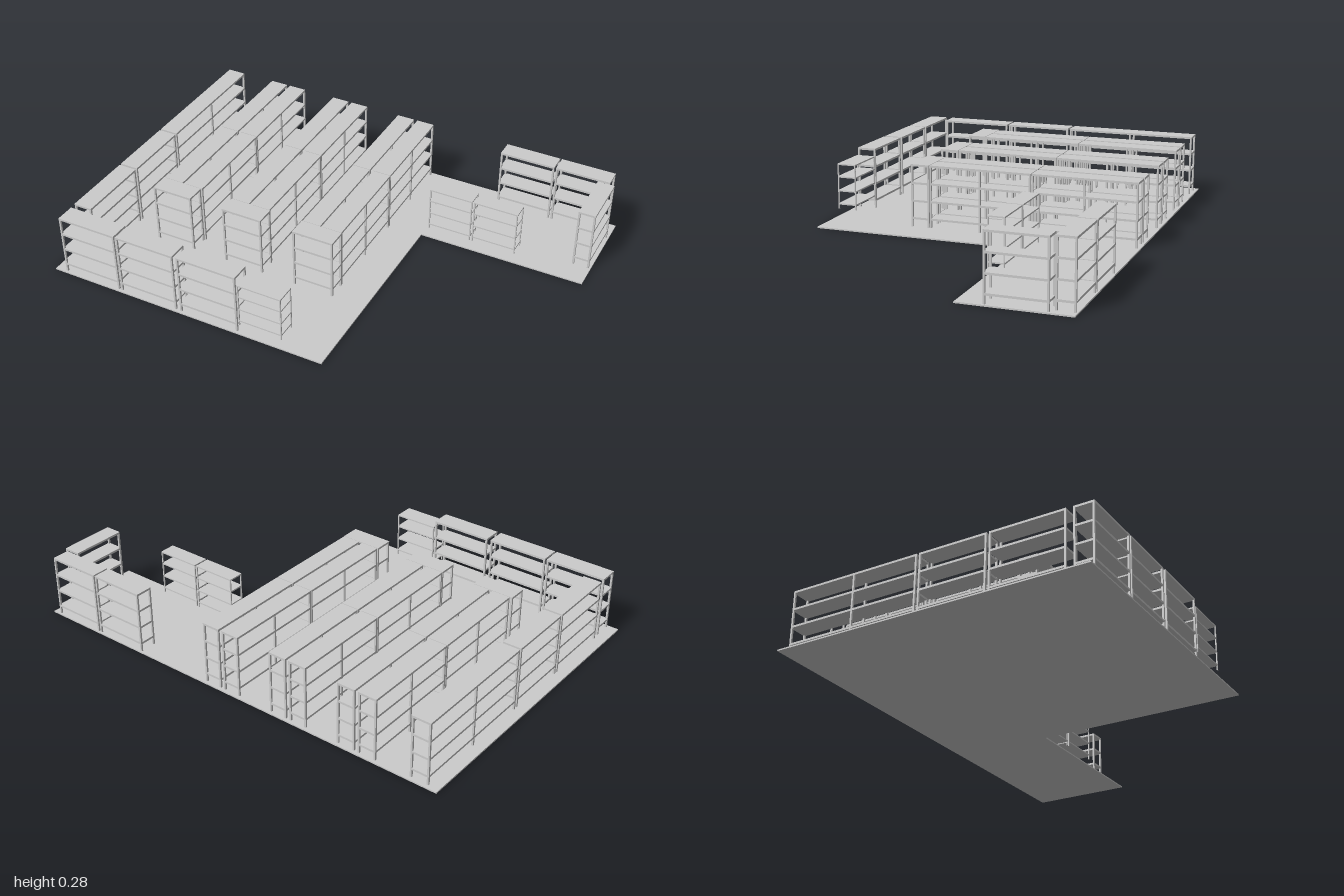
import * as THREE from 'three';

const material = new THREE.MeshStandardMaterial({ color: 0xcccccc, flatShading: true });

// Box given by its minimum and maximum corners
function box(name, x0, x1, y0, y1, z0, z1) {
  const mesh = new THREE.Mesh(new THREE.BoxGeometry(x1 - x0, y1 - y0, z1 - z0), material);
  mesh.name = name;
  mesh.position.set((x0 + x1) / 2, (y0 + y1) / 2, (z0 + z1) / 2);
  return mesh;
}

const TALL = { levels: [0.043, 0.119, 0.196, 0.273], board: 0.009, post: 0.008, foot: 0.004, top: 0.277 };
const SHORT = { levels: [0.065, 0.124, 0.186, 0.242], board: 0.006, post: 0.005, foot: 0.043, top: 0.244 };

// Open shelving unit: boards on pairs of posts, optionally split into bays along z
function shelfUnit(name, x0, x1, z0, z1, type = TALL, bays = 1) {
  const unit = new THREE.Group();
  unit.name = name;
  const { levels, board, post, foot, top } = type;
  for (const y of levels) unit.add(box('shelf', x0, x1, y - board / 2, y + board / 2, z0, z1));
  for (let i = 0; i <= bays; i++) {
    const z = z0 + (z1 - z0 - post) * i / bays;
    for (const x of [x0, x1 - post]) unit.add(box('post', x, x + post, foot, top, z, z + post));
  }
  return unit;
}

export function createModel() {
  const model = new THREE.Group();
  model.name = 'shopShelving';

  // L-shaped floor slab
  const outline = [[-1, -0.688], [1, -0.688], [1, -0.24], [0.268, -0.24], [0.268, 0.685], [-1, 0.685]];
  const shape = new THREE.Shape(outline.map(([x, z]) => new THREE.Vector2(x, -z)));
  const floor = new THREE.Mesh(
    new THREE.ExtrudeGeometry(shape, { depth: 0.006, bevelEnabled: false }), material);
  floor.rotation.x = -Math.PI / 2;
  floor.name = 'floor';
  model.add(floor);

  // Row along the -x wall
  model.add(
    shelfUnit('sideWallShelf', -0.955, -0.873, -0.672, -0.08, TALL, 2),
    shelfUnit('sideWallShelf', -0.955, -0.873, -0.07, 0.23),
    shelfUnit('sideWallShelf', -0.955, -0.873, 0.24, 0.562));

  // Row along the front edge, ending in a short unit
  for (const x of [-0.952, -0.673, -0.385]) {
    model.add(shelfUnit('frontShelf', x, x + 0.27, 0.59, 0.675));
  }
  model.add(shelfUnit('frontShortShelf', -0.108, 0.087, 0.59, 0.675, SHORT));

  // Three back-to-back aisles, each with an end unit facing the front
  for (const [x, capX] of [[-0.721, -0.732], [-0.395, -0.395], [-0.06, -0.063]]) {
    const aisle = new THREE.Group();
    aisle.name = 'aisle';
    for (const side of [x, x + 0.097]) {
      for (const z of [-0.675, -0.222]) {
        aisle.add(shelfUnit('aisleShelf', side, side + 0.081, z, z + 0.45, TALL, 2));
      }
    }
    aisle.add(shelfUnit('aisleEndShelf', capX, capX + 0.183, 0.23, 0.312));
    model.add(aisle);
  }

  // Shelving around the narrow wing
  model.add(
    shelfUnit('wingBackShelf', 0.472, 0.718, -0.682, -0.605),
    shelfUnit('wingBackShelf', 0.726, 0.968, -0.682, -0.605),
    shelfUnit('wingEndShelf', 0.918, 0.992, -0.592, -0.347),
    shelfUnit('wingShortShelf', 0.294, 0.488, -0.32, -0.25, SHORT),
    shelfUnit('wingShortShelf', 0.496, 0.692, -0.32, -0.25, SHORT));

  return model;
}
